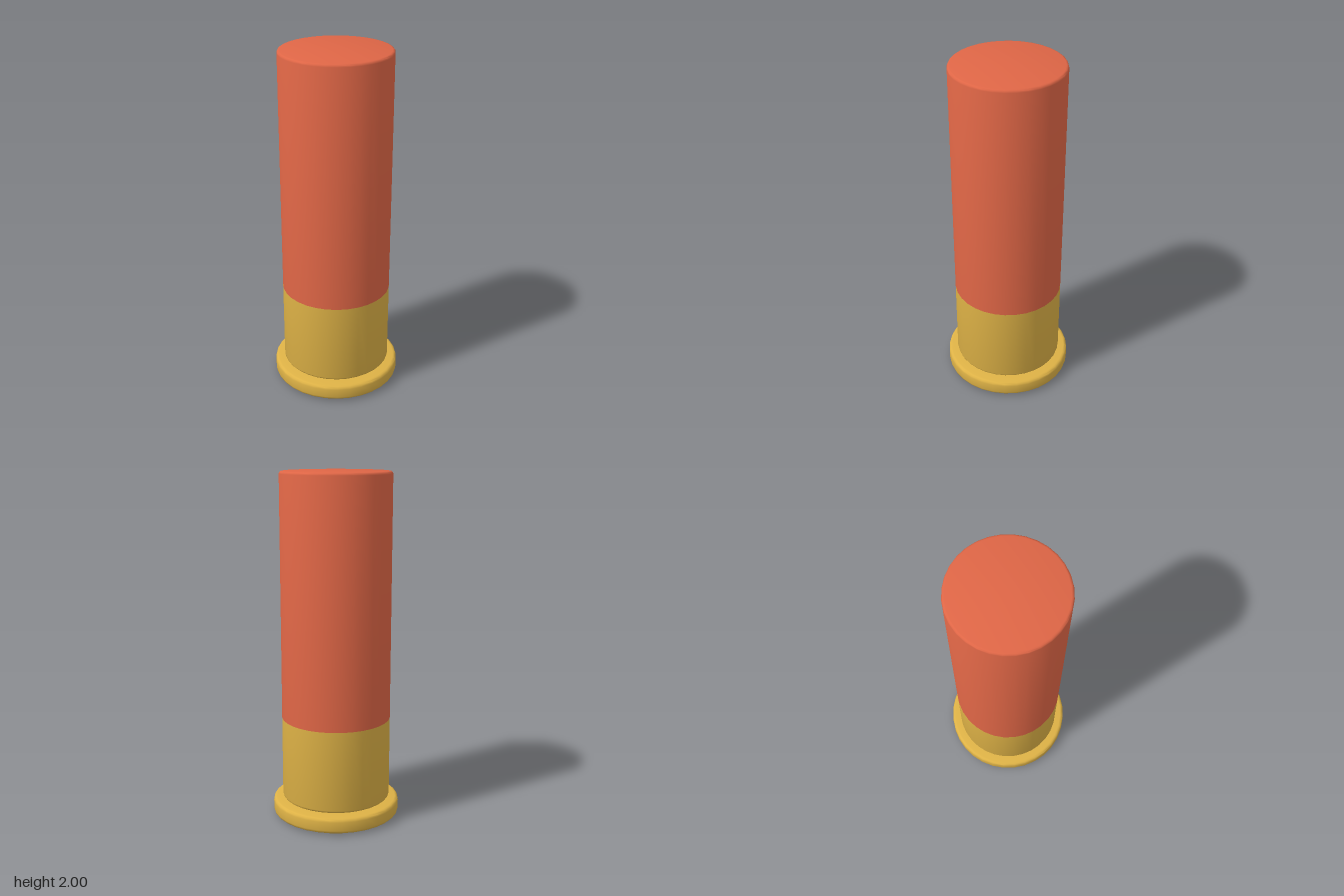
import * as THREE from 'three';
import { toCreasedNormals } from 'three/addons/utils/BufferGeometryUtils.js';

const SIDES = 32;

// Quarter-round corner points around (cx, cy), from angle a0 to a1 in degrees
function corner(cx, cy, r, a0, a1, steps = 3) {
  const points = [];
  for (let i = 0; i <= steps; i++) {
    const a = THREE.MathUtils.degToRad(a0 + ((a1 - a0) * i) / steps);
    points.push([cx + r * Math.cos(a), cy + r * Math.sin(a)]);
  }
  return points;
}

// Turned part from a [radius, height] profile running bottom to top
function turned(name, profile, material) {
  const points = profile.map(([x, y]) => new THREE.Vector2(x, y));
  const geometry = toCreasedNormals(new THREE.LatheGeometry(points, SIDES), 0.6);
  const mesh = new THREE.Mesh(geometry, material);
  mesh.name = name;
  return mesh;
}

export function createModel() {
  const model = new THREE.Group();
  model.name = 'shotgunShell';
  const red = new THREE.MeshStandardMaterial({ color: 0xdf6646 });
  const brass = new THREE.MeshStandardMaterial({ color: 0xdeb246 });

  // Red tube with a closed, softly rounded top
  model.add(turned('hull', [
    [0.315, 0.59],
    ...corner(0.3, 1.985, 0.015, 0, 90),
    [0, 2],
  ], red));

  // Brass sleeve around the lower part, flush with the hull
  model.add(turned('brassSleeve', [
    [0.25, 0.11],
    ...corner(0.3, 0.125, 0.015, -90, 0),
    [0.315, 0.59],
  ], brass));

  // Narrow extraction groove between sleeve and rim
  model.add(turned('extractionGroove', [[0.26, 0.095], [0.26, 0.112]], brass));

  // Flat rim with rounded edges
  model.add(turned('rim', [
    [0.13, 0.01],
    ...corner(0.35, 0.03, 0.02, -90, 0),
    ...corner(0.35, 0.08, 0.02, 0, 90),
    [0.25, 0.1],
  ], brass));

  // Slightly domed primer in the centre of the base
  model.add(turned('primer', [
    [0, 0], [0.07, 0.001], [0.115, 0.005], [0.13, 0.012],
  ], brass));

  return model;
}
